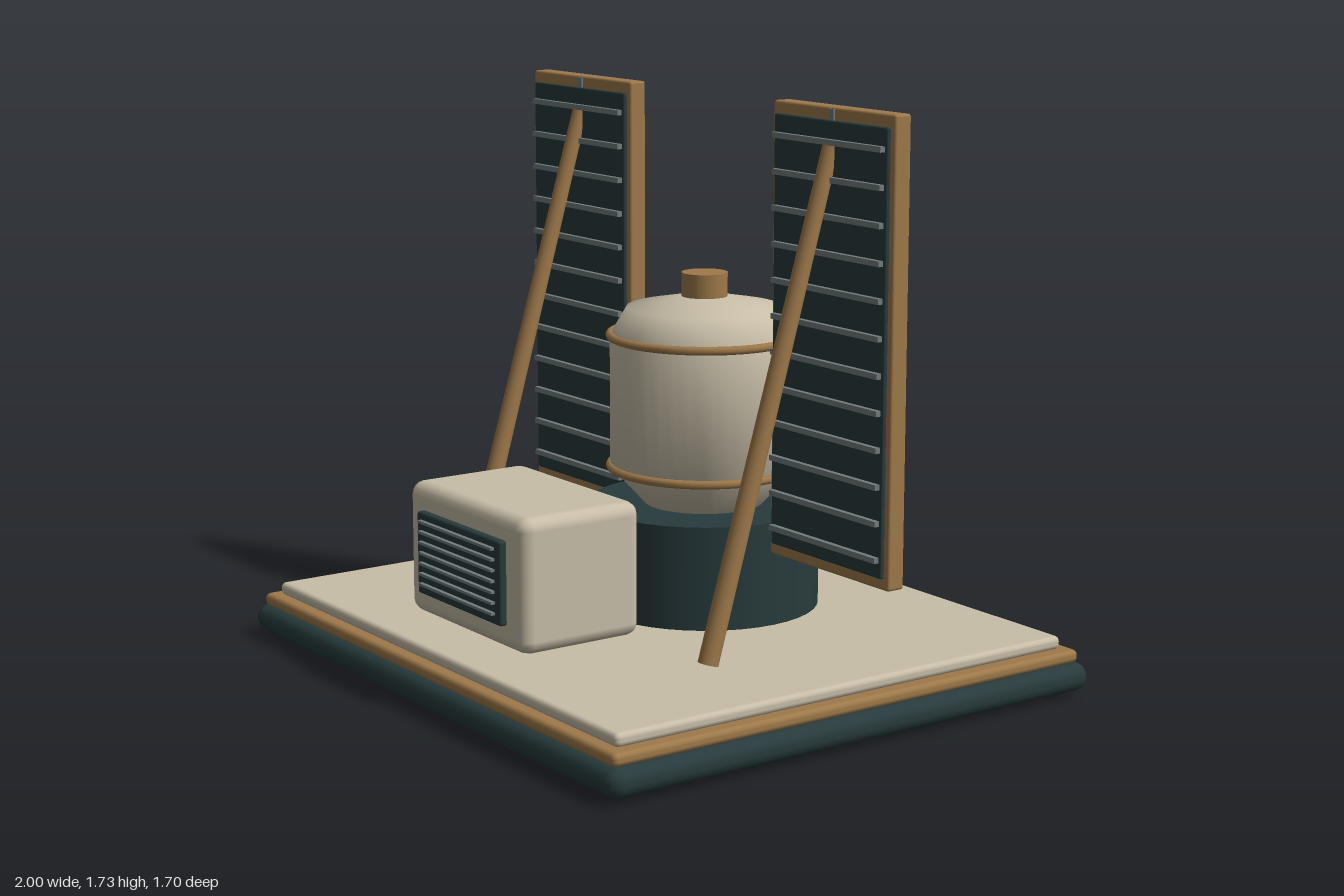
import * as THREE from 'three';
import { RoundedBoxGeometry } from 'three/addons/geometries/RoundedBoxGeometry.js';
import { toCreasedNormals } from 'three/addons/utils/BufferGeometryUtils.js';

function material(name, color) {
  const m = new THREE.MeshStandardMaterial({ color });
  m.name = name;
  return m;
}

export function createModel() {
  const model = new THREE.Group();
  model.name = 'solarBoilerStation';
  const cream = material('cream enamel', 0xc8bea8);
  const bronze = material('bronze', 0x9e794a);
  const dark = material('dark teal', 0x283b3d);
  const steel = material('steel grey', 0x727b7d);

  const add = (parent, name, geometry, mat, x, y, z) => {
    const mesh = new THREE.Mesh(geometry, mat);
    mesh.name = name;
    mesh.position.set(x, y, z);
    parent.add(mesh);
    return mesh;
  };
  // Box given by its limits, with optional rounded edges
  const block = (parent, name, mat, [x0, x1], [y0, y1], [z0, z1], r = 0) => {
    const s = [x1 - x0, y1 - y0, z1 - z0];
    const geo = r ? new RoundedBoxGeometry(...s, 2, r) : new THREE.BoxGeometry(...s);
    return add(parent, name, geo, mat, (x0 + x1) / 2, (y0 + y1) / 2, (z0 + z1) / 2);
  };

  // Stepped base and feet
  block(model, 'baseSlab', dark, [-1, 1], [0.015, 0.1], [-0.85, 0.85], 0.04);
  block(model, 'baseTrim', bronze, [-0.97, 0.97], [0.098, 0.137], [-0.825, 0.825], 0.016);
  block(model, 'baseDeck', cream, [-0.93, 0.93], [0.135, 0.175], [-0.79, 0.79], 0.016);
  for (const x of [-0.78, 0.78]) for (const z of [-0.635, 0.635])
    add(model, 'foot', new THREE.CylinderGeometry(0.095, 0.095, 0.03, 24), steel, x, 0.015, z);

  // Boiler on its pedestal
  const boiler = new THREE.Group();
  boiler.name = 'boiler';
  boiler.position.z = -0.175;
  model.add(boiler);
  add(boiler, 'pedestal', new THREE.CylinderGeometry(0.35, 0.35, 0.315, 40), dark, 0, 0.33, 0);
  const profile = [[0, 0.48], [0.175, 0.48], [0.285, 0.6], [0.285, 1], [0.235, 1.085], [0.07, 1.118], [0, 1.12]];
  const tank = new THREE.LatheGeometry(profile.map(([r, y]) => new THREE.Vector2(r, y)), 40);
  add(boiler, 'tank', toCreasedNormals(tank, 0.85), cream, 0, 0, 0);
  for (const y of [0.6, 1]) {
    const hoop = new THREE.TorusGeometry(0.285, 0.013, 8, 48);
    add(boiler, 'hoop', hoop.rotateX(Math.PI / 2), bronze, 0, y, 0);
  }
  add(boiler, 'lidKnob', new THREE.CylinderGeometry(0.07, 0.07, 0.075, 24), bronze, 0, 1.152, 0);

  // Panels with slats, props and pipes, one on each side
  for (const side of [-1, 1]) {
    const wing = new THREE.Group();
    wing.name = side > 0 ? 'leftPanel' : 'rightPanel';
    wing.position.x = side * 0.627;
    model.add(wing);
    block(wing, 'panelFrame', bronze, [-0.269, 0.269], [0.4, 1.733], [-0.212, -0.154], 0.008);
    block(wing, 'panelFace', dark, [-0.25, 0.25], [0.435, 1.697], [-0.16, -0.142], 0.005);
    for (let i = 0; i < 12; i++) {
      const y = 0.488 + i * 0.1045;
      block(wing, 'slat', steel, [-0.24, 0.24], [y - 0.008, y + 0.008], [-0.145, -0.126]);
    }
    block(wing, 'panelPin', steel, [-0.01, 0.01], [1.695, 1.728], [-0.158, -0.148]);

    // Leaning prop from the deck to the panel top
    const foot = new THREE.Vector3(0, 0.2, 0.27);
    const head = new THREE.Vector3(0, 1.63, -0.15);
    const span = head.clone().sub(foot);
    const mid = foot.clone().add(head).multiplyScalar(0.5);
    const prop = add(wing, 'prop', new THREE.CylinderGeometry(0.024, 0.03, span.length(), 16), bronze, mid.x, mid.y, mid.z);
    prop.quaternion.setFromUnitVectors(new THREE.Vector3(0, 1, 0), span.normalize());

    const pipe = new THREE.CylinderGeometry(0.02, 0.02, 0.125, 16).rotateZ(Math.PI / 2);
    add(model, 'pipe', pipe, steel, side * 0.3125, 0.795, -0.18);
  }

  // Control box with louvred grille
  const control = new THREE.Group();
  control.name = 'controlBox';
  model.add(control);
  block(control, 'housing', cream, [-0.315, 0.315], [0.21, 0.607], [0.275, 0.68], 0.04);
  block(control, 'grille', dark, [-0.227, 0.227], [0.285, 0.532], [0.67, 0.702], 0.008);
  for (let i = 0; i < 7; i++) {
    const y = 0.318 + i * 0.0315;
    block(control, 'louvre', steel, [-0.2, 0.2], [y - 0.004, y + 0.004], [0.7, 0.715]);
  }
  return model;
}
